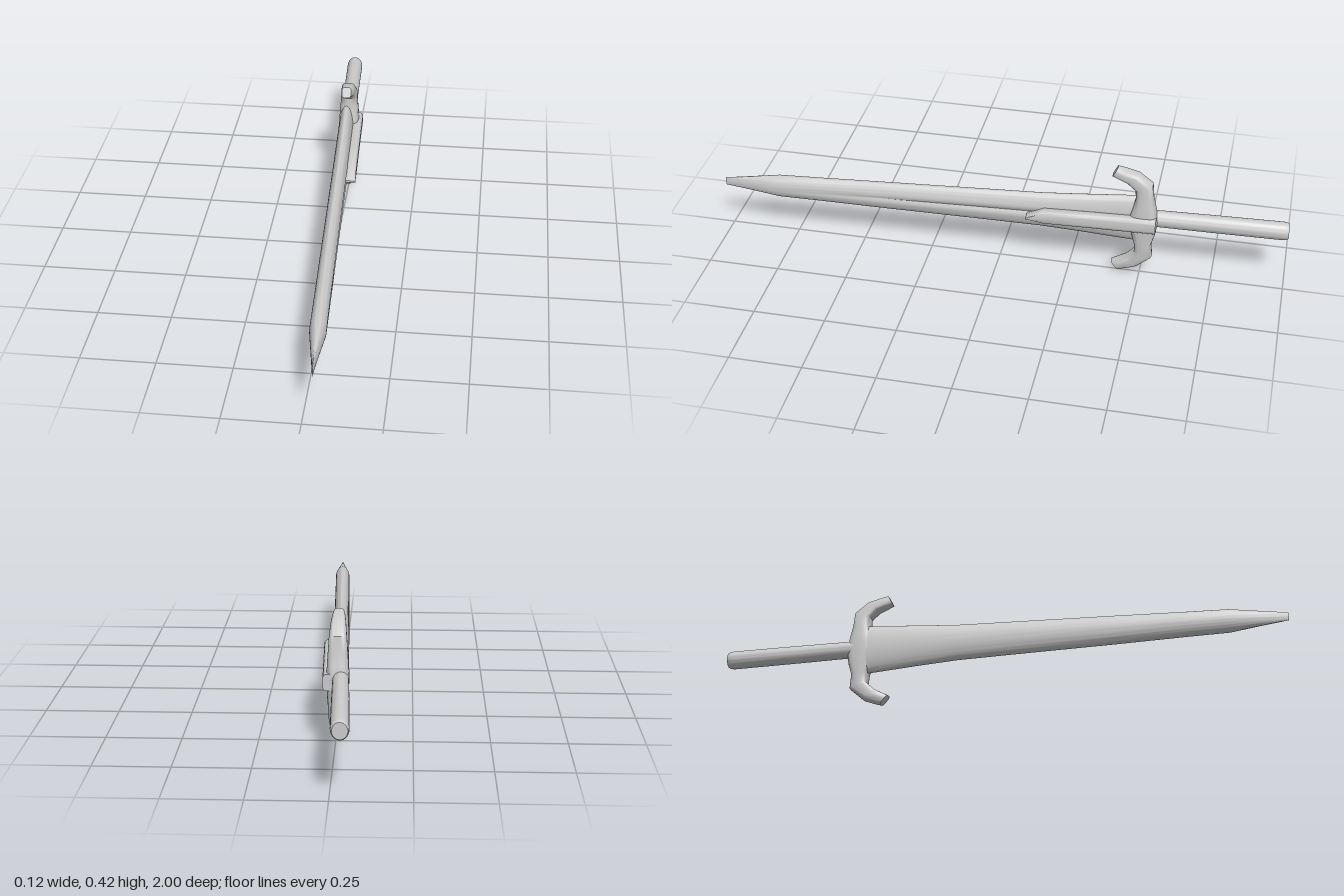
import * as THREE from 'three';
import { toCreasedNormals } from 'three/addons/utils/BufferGeometryUtils.js';

const material = new THREE.MeshStandardMaterial({ color: 0xcccccc, side: THREE.DoubleSide });

// The sword leans slightly sideways along its length.
const axisX = (z) => 0.001 + 0.034 * z;

// Signed power, for rounded-square sections.
const spow = (v, p) => Math.sign(v) * Math.abs(v) ** p;

// Skin closed rings of points and cap both ends.
function loft(rings, crease = 0.6) {
  const n = rings[0].length;
  const pos = rings.flat().flatMap((p) => [p.x, p.y, p.z]);
  const index = [];
  for (let i = 0; i < rings.length - 1; i++) {
    for (let j = 0; j < n; j++) {
      const k = (j + 1) % n;
      const a = i * n + j, b = i * n + k, c = a + n, d = b + n;
      index.push(a, b, c, b, d, c);
    }
  }
  [0, rings.length - 1].forEach((r, end) => {
    const mid = new THREE.Vector3();
    rings[r].forEach((p) => mid.addScaledVector(p, 1 / n));
    const m = pos.length / 3;
    pos.push(mid.x, mid.y, mid.z);
    for (let j = 0; j < n; j++) {
      const a = r * n + j, b = r * n + ((j + 1) % n);
      index.push(m, end ? a : b, end ? b : a);
    }
  });
  const g = new THREE.BufferGeometry();
  g.setAttribute('position', new THREE.Float32BufferAttribute(pos, 3));
  g.setIndex(index);
  return toCreasedNormals(g, crease);
}

// Ring of n points made by fn(cos, sin).
const ring = (n, fn) => Array.from({ length: n }, (_, j) => {
  const t = (j / n) * Math.PI * 2;
  return fn(Math.cos(t), Math.sin(t));
});

// Blade: elliptical sections [z, bottom, top, half thickness, groove depth]
function bladeGeometry() {
  const stations = [
    [-0.5, 0.122, 0.308, 0.027, 0.008], [-0.45, 0.125, 0.305, 0.027, 0.008],
    [-0.3, 0.136, 0.292, 0.027, 0.008], [-0.15, 0.145, 0.28, 0.027, 0.008],
    [0.1, 0.149, 0.271, 0.027, 0.007], [0.4, 0.153, 0.26, 0.027, 0.005],
    [0.65, 0.158, 0.25, 0.027, 0.002], [0.8, 0.16, 0.245, 0.027, 0],
    [0.9, 0.173, 0.23, 0.014, 0], [1, 0.185, 0.215, 0.001, 0],
  ];
  return loft(stations.map(([z, lo, hi, t, groove]) => ring(48, (c, s) => {
    // Central groove on the +x face only
    const dip = c > 0 ? groove * Math.max(0, 1 - Math.abs(s) / 0.22) : 0;
    return new THREE.Vector3(axisX(z) + t * c - dip, (lo + hi) / 2 + s * (hi - lo) / 2, z);
  })));
}

// Guard: hooked bar, stations [outer z, outer y, inner z, inner y, half width]
function guardGeometry() {
  const stations = [
    [-0.408, 0.42, -0.39, 0.385, 0.017], [-0.44, 0.412, -0.415, 0.375, 0.022],
    [-0.482, 0.4, -0.443, 0.364, 0.025], [-0.53, 0.362, -0.472, 0.34, 0.029],
    [-0.535, 0.31, -0.474, 0.305, 0.032], [-0.545, 0.265, -0.465, 0.265, 0.035],
    [-0.555, 0.22, -0.45, 0.22, 0.037], [-0.548, 0.165, -0.465, 0.165, 0.035],
    [-0.535, 0.12, -0.476, 0.12, 0.032], [-0.54, 0.07, -0.478, 0.088, 0.029],
    [-0.49, 0.025, -0.448, 0.058, 0.025], [-0.455, 0.011, -0.42, 0.043, 0.022],
    [-0.425, 0.0, -0.398, 0.032, 0.017],
  ];
  return loft(stations.map(([oz, oy, iz, iy, w]) => ring(24, (c, s) => {
    const v = (spow(s, 0.6) + 1) / 2;
    const x = axisX(-0.48) + 0.008 + w * spow(c, 0.6);
    return new THREE.Vector3(x, oy + (iy - oy) * v, oz + (iz - oz) * v);
  })), 0.8);
}

// Grip: round bar [z, radius] with a softened end
function gripGeometry() {
  const stations = [[-1, 0.027], [-0.994, 0.031], [-0.98, 0.033], [-0.75, 0.032], [-0.5, 0.03]];
  return loft(stations.map(([z, r]) => ring(32, (c, s) =>
    new THREE.Vector3(axisX(z) + r * 0.88 * c, 0.22 + r * s, z))));
}

// Central rib on the +x face: pointed bar [z, bottom, top]
function ribGeometry() {
  const stations = [
    [-0.55, 0.186, 0.242], [-0.45, 0.186, 0.242], [-0.3, 0.186, 0.24],
    [-0.16, 0.186, 0.237], [-0.1, 0.2, 0.208],
  ];
  return loft(stations.map(([z, lo, hi]) => ring(24, (c, s) =>
    new THREE.Vector3(axisX(z) + 0.039 + 0.019 * spow(c, 0.55),
      (lo + hi) / 2 + spow(s, 0.55) * (hi - lo) / 2, z))), 0.7);
}

export function createModel() {
  const model = new THREE.Group();
  model.name = 'sword';
  const parts = {
    blade: bladeGeometry(), guard: guardGeometry(), grip: gripGeometry(), bladeRib: ribGeometry(),
  };
  for (const [name, geometry] of Object.entries(parts)) {
    const mesh = new THREE.Mesh(geometry, material);
    mesh.name = name;
    model.add(mesh);
  }
  return model;
}
